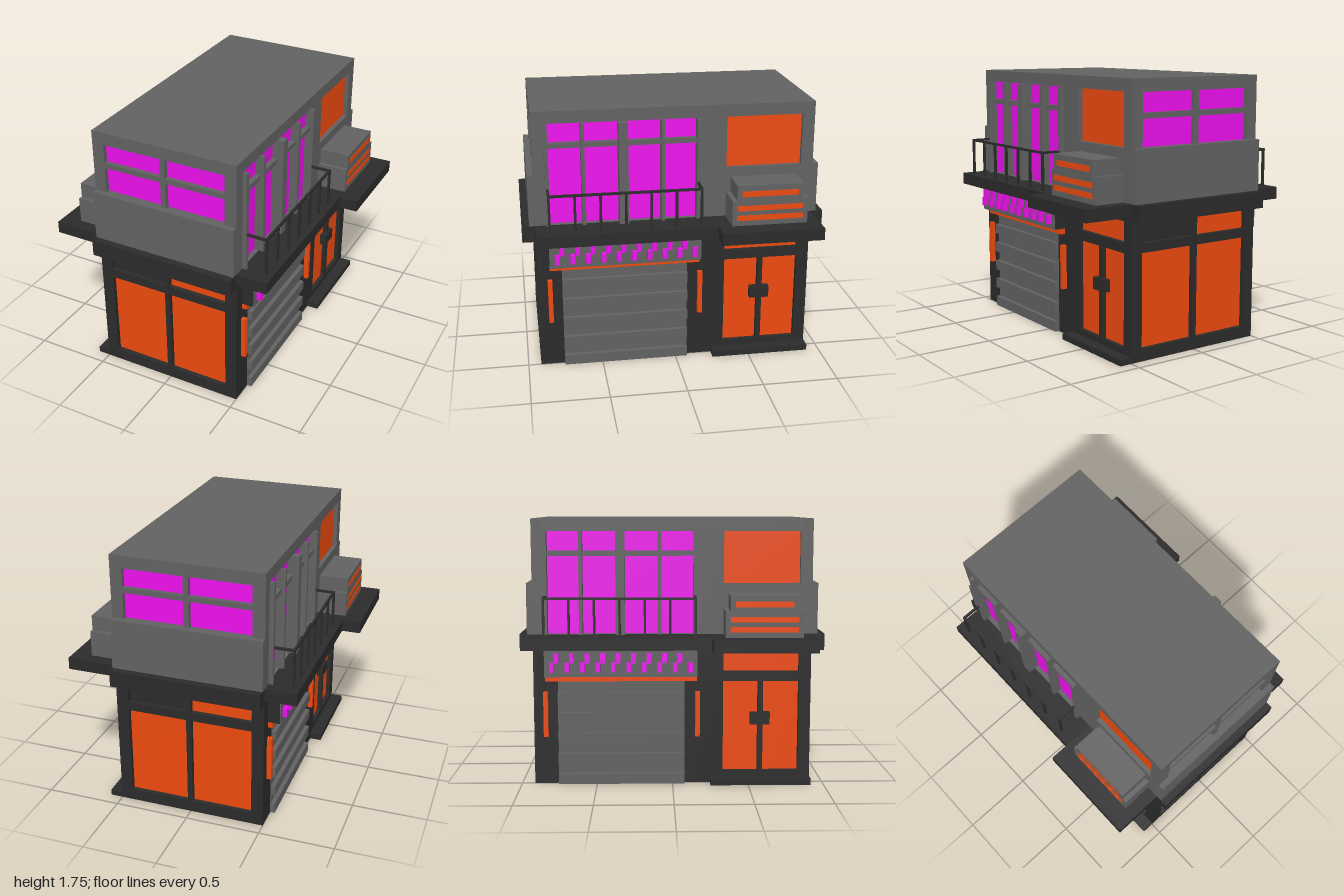
import * as THREE from 'three';

const mat = (color) => new THREE.MeshStandardMaterial({ color, flatShading: true });
const GREY = mat(0x626262), DARK = mat(0x2b2b2b), ORANGE = mat(0xee4a0e), PINK = mat(0xee10ee);

// Box given by its limits on each axis
function box(parent, name, material, [x0, x1], [y0, y1], [z0, z1]) {
  const mesh = new THREE.Mesh(new THREE.BoxGeometry(x1 - x0, y1 - y0, z1 - z0), material);
  mesh.position.set((x0 + x1) / 2, (y0 + y1) / 2, (z0 + z1) / 2);
  mesh.name = name;
  parent.add(mesh);
  return mesh;
}

const T = 0.04; // wall thickness

// Upright wall with rectangular openings [u0, u1, y0, y1], extruded towards +z
function wallGeometry(u0, u1, y0, y1, holes) {
  const rect = (P, a, b, c, d) => {
    const p = new P();
    p.moveTo(a, c); p.lineTo(b, c); p.lineTo(b, d); p.lineTo(a, d); p.closePath();
    return p;
  };
  const shape = rect(THREE.Shape, u0, u1, y0, y1);
  for (const h of holes) shape.holes.push(rect(THREE.Path, ...h));
  return new THREE.ExtrudeGeometry(shape, { depth: T, bevelEnabled: false });
}

function frontWall(parent, name, material, y0, y1, holes) {
  const mesh = new THREE.Mesh(wallGeometry(-0.5, 0.5, y0, y1, holes), material);
  mesh.position.z = 0.915 - T;
  mesh.name = name;
  parent.add(mesh);
}

// Side wall facing +x; openings are given as [z0, z1, y0, y1]
function sideWall(parent, name, material, y0, y1, holes) {
  const flipped = holes.map(([a, b, c, d]) => [-b, -a, c, d]);
  const geometry = wallGeometry(-0.875, 0.875, y0, y1, flipped).rotateY(Math.PI / 2);
  const mesh = new THREE.Mesh(geometry, material);
  mesh.position.x = 0.5 - T;
  mesh.name = name;
  parent.add(mesh);
}

function buildFront(g) {
  const columns = [[-0.42, -0.02], [0.015, 0.42]];
  const openings = (rows) => columns.flatMap((c) => rows.map((r) => [...c, ...r]));
  const pane = [0.877, 0.885];

  // Ground floor shop front
  frontWall(g, 'shopFrontFrame', DARK, 0, 1, openings([[0.08, 0.69], [0.75, 0.89]]));
  for (const c of columns) box(g, 'shopWindow', ORANGE, c, [0.08, 0.69], pane);
  box(g, 'transomPanel', DARK, columns[0], [0.75, 0.89], pane);
  box(g, 'transomWindow', ORANGE, columns[1], [0.75, 0.89], pane);

  // Upper floor windows behind a parapet
  const rows = [[1.335, 1.51], [1.545, 1.67]];
  frontWall(g, 'upperFrontWall', GREY, 1, 1.75, openings(rows));
  for (const c of columns) for (const r of rows) box(g, 'upperWindow', PINK, c, r, pane);
  box(g, 'frontLedge', DARK, [-0.5, 0.5], [0.89, 1], [0.915, 1]);
  box(g, 'parapet', GREY, [-0.5, 0.5], [1, 1.335], [0.915, 0.952]);
}

function buildGroundSide(g) {
  const doors = [[-0.565, -0.335], [-0.835, -0.6]];
  const pane = [0.462, 0.47];
  sideWall(g, 'lowerSideWall', DARK, 0, 1, [
    ...doors.map((d) => [...d, 0.08, 0.685]),
    [-0.835, -0.335, 0.75, 0.885],
    [-0.08, 0.755, 0.004, 0.69],
  ]);

  // Double door
  for (const d of doors) box(g, 'doorPane', ORANGE, pane, [0.08, 0.685], d);
  box(g, 'doorTransom', ORANGE, pane, [0.75, 0.885], [-0.835, -0.335]);
  box(g, 'doorHandle', DARK, [0.455, 0.515], [0.395, 0.475], [-0.645, -0.515]);
  box(g, 'doorStep', DARK, [0.5, 0.582], [0, 0.04], [-0.915, -0.25]);

  // Roller shutter with alternating slats
  const slat = 0.069;
  for (let i = 0; i < 10; i++) {
    const x = i % 2 ? [0.465, 0.503] : [0.495, 0.532];
    box(g, 'shutterSlat', GREY, x, [i * slat, (i + 1) * slat], [-0.08, 0.755]);
  }
  for (const z of [0.835, -0.165]) {
    box(g, 'wallLamp', ORANGE, [0.5, 0.532], [0.32, 0.62], [z - 0.015, z + 0.015]);
  }

  // Canopy box with a light strip and two rows of small lamps
  box(g, 'lightStrip', ORANGE, [0.5, 0.532], [0.693, 0.73], [-0.16, 0.835]);
  box(g, 'canopyBox', DARK, [0.5, 0.578], [0.73, 0.92], [-0.16, 0.835]);
  box(g, 'canopyFace', GREY, [0.578, 0.583], [0.73, 0.92], [-0.16, 0.835]);
  for (let i = 0; i < 10; i++) {
    const z = 0.785 - i * 0.1;
    box(g, 'canopyLamp', PINK, [0.582, 0.613], [0.765, 0.825], [z - 0.015, z + 0.015]);
    if (i < 9) box(g, 'canopyLamp', PINK, [0.582, 0.613], [0.825, 0.887], [z - 0.046, z - 0.016]);
  }
}

function buildUpperSide(g) {
  const pane = [0.462, 0.47];
  sideWall(g, 'upperSideWall', GREY, 1, 1.75, [
    [-0.835, -0.335, 1.333, 1.672],
    [-0.14, 0.82, 1.003, 1.672],
  ]);
  box(g, 'sideWindow', ORANGE, pane, [1.333, 1.672], [-0.835, -0.335]);

  // Balcony glazing and its mullions
  box(g, 'balconyGlass', PINK, pane, [1, 1.672], [-0.14, 0.82]);
  box(g, 'glazingBar', GREY, [0.47, 0.505], [1.512, 1.545], [-0.14, 0.82]);
  for (const z of [0.827, 0.597, 0.085, -0.148]) {
    box(g, 'mullion', GREY, [0.47, 0.53], [1, 1.67], [z - 0.012, z + 0.012]);
  }
  box(g, 'centreMullion', GREY, [0.47, 0.547], [1, 1.67], [0.31, 0.37]);

  // Balcony slabs
  box(g, 'balconySlab', DARK, [0.5, 0.705], [0.92, 1], [-0.25, 0.915]);
  box(g, 'wideSlab', DARK, [0.5, 0.832], [0.92, 1], [-0.915, -0.25]);

  // Railing
  const r = 0.0075, top = [1.24, 1.255], x = [0.65, 0.665];
  for (let i = 0; i < 7; i++) {
    const z = 0.827 - i * 0.162;
    box(g, 'railingPost', DARK, x, [1, 1.24], [z - r, z + r]);
  }
  box(g, 'handrail', DARK, x, top, [-0.1525, 0.8345]);
  for (const z of [0.827, -0.145]) box(g, 'handrailReturn', DARK, [0.5, 0.65], top, [z - r, z + r]);

  // Ventilation unit with glowing slots
  box(g, 'ventUnit', GREY, [0.5, 0.705], [1, 1.17], [-0.832, -0.335]);
  box(g, 'ventUnitTop', GREY, [0.5, 0.705], [1.17, 1.27], [-0.8, -0.365]);
  for (const [y, z] of [[[1.035, 1.07], [-0.8, -0.365]], [[1.1, 1.135], [-0.8, -0.365]],
    [[1.195, 1.232], [-0.767, -0.397]]]) {
    box(g, 'ventSlot', ORANGE, [0.69, 0.708], y, z);
  }
}

export function createModel() {
  const model = new THREE.Group();
  model.name = 'building';

  // Two identical halves, turned half a circle about the vertical axis
  for (let i = 0; i < 2; i++) {
    const half = new THREE.Group();
    half.name = i ? 'rearHalf' : 'frontHalf';
    buildFront(half);
    buildGroundSide(half);
    buildUpperSide(half);
    half.rotation.y = i * Math.PI;
    model.add(half);
  }

  // Ceiling between floors, and the roof
  box(model, 'ceiling', DARK, [-0.46, 0.46], [0.92, 1], [-0.875, 0.875]);
  box(model, 'roof', GREY, [-0.5, 0.5], [1.72, 1.752], [-0.9155, 0.9155]);
  return model;
}
